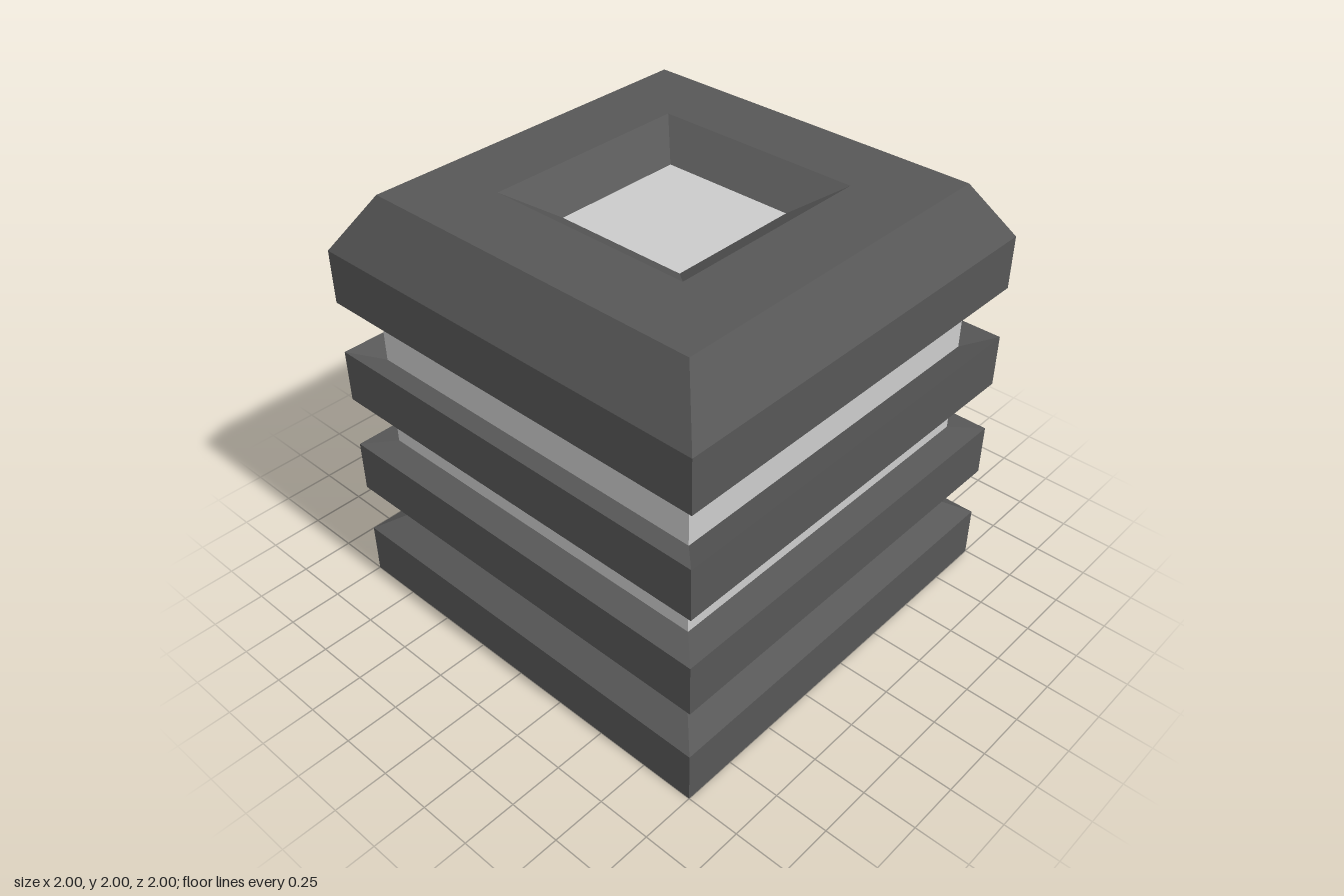
import * as THREE from 'three';

const light = new THREE.MeshStandardMaterial({ color: 0xcccccc, flatShading: true });
const dark = new THREE.MeshStandardMaterial({ color: 0x575757, flatShading: true });

// Square ring or solid swept from a profile of [half width, height], listed bottom to top
function squareLathe(name, profile) {
  const points = profile.map(([half, y]) => new THREE.Vector2(half * Math.SQRT2, y));
  const mesh = new THREE.Mesh(new THREE.LatheGeometry(points, 4, Math.PI / 4), dark);
  mesh.name = name;
  return mesh;
}

function block(name, half, bottom, top) {
  const mesh = new THREE.Mesh(new THREE.BoxGeometry(half * 2, top - bottom, half * 2), light);
  mesh.position.y = (bottom + top) / 2;
  mesh.name = name;
  return mesh;
}

export function createModel() {
  const group = new THREE.Group();
  group.name = 'bandedBlock';
  const inner = 0.875;

  // Pale core showing between the bands, and the pale floor of the top recess
  group.add(block('core', inner, 0.1, 1.7));
  group.add(block('recessFloor', 0.32, 1.65, 1.88));

  // Base band with a flat underside and a sloping upper face
  group.add(squareLathe('baseBand', [[0, 0], [1, 0], [1, 0.25], [inner, 0.33]]));

  // Two middle bands, mirrored about mid height
  group.add(squareLathe('lowerBand', [[inner, 0.545], [1, 0.5], [1, 0.75], [inner, 0.765]]));
  group.add(squareLathe('upperBand', [[inner, 1.235], [1, 1 ], [1, 1.25], [inner, 1.205]].map(
    ([half, y], i) => [half, i === 0 ? 0.985 : y])));

  // Chamfered cap with a sloping square recess
  group.add(squareLathe('cap', [
    [inner, 1.425], [1, 1.5], [1, 1.75], [0.84, 2], [0.5, 2], [0.32, 1.88],
  ]));

  return group;
}
